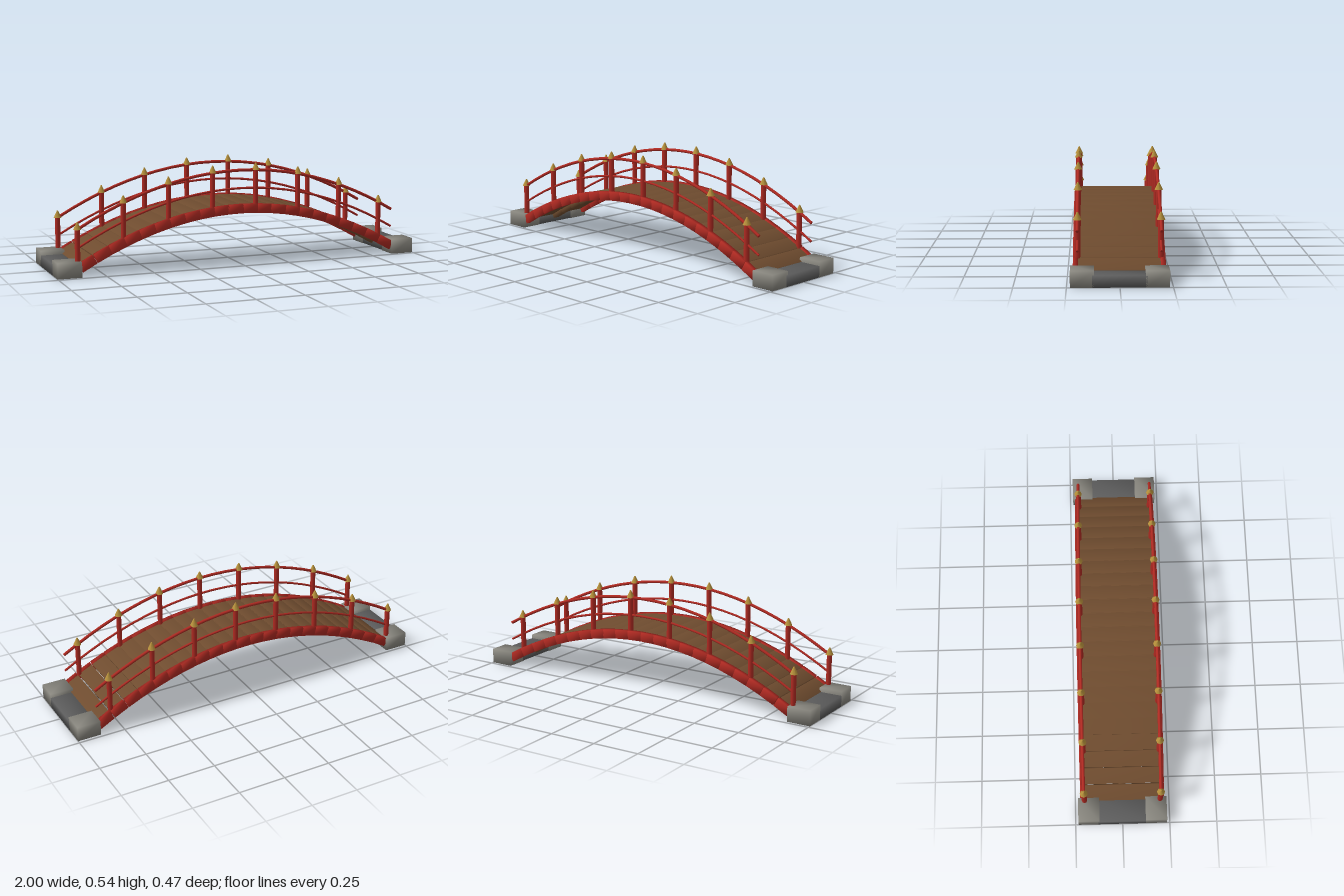
import * as THREE from 'three';
import { mergeVertices } from 'three/addons/utils/BufferGeometryUtils.js';

const HALF = 0.88; // half span of the arch
const archY = x => 0.298 - 0.255 * (x / HALF) ** 2;
const archAngle = x => Math.atan(-0.51 * x / HALF ** 2);

// Parabolic path of the arch, lifted by a given height
class ArchCurve extends THREE.Curve {
  constructor(lift) { super(); this.lift = lift; }
  getPoint(t, target = new THREE.Vector3()) {
    const x = (t * 2 - 1) * HALF;
    return target.set(x, archY(x) + this.lift, 0);
  }
}

// Box with shared corners, so its shading is soft
function softBox(w, h, d) {
  const g = new THREE.BoxGeometry(w, h, d);
  g.deleteAttribute('normal');
  g.deleteAttribute('uv');
  const merged = mergeVertices(g);
  merged.computeVertexNormals();
  return merged;
}

export function createModel() {
  const mat = (name, color) => new THREE.MeshStandardMaterial({ name, color });
  const red = mat('red lacquer', 0xb02a22);
  const wood = mat('brown wood', 0x6f4c2f);
  const gold = mat('gold', 0xb8923c);
  const stone = mat('light stone', 0x8a8880);
  const darkStone = mat('dark stone', 0x5c5c5c);

  const bridge = new THREE.Group();
  bridge.name = 'archedBridge';
  const add = (name, geometry, material, x, y, z, parent = bridge) => {
    const m = new THREE.Mesh(geometry, material);
    m.name = name;
    m.position.set(x, y, z);
    parent.add(m);
    return m;
  };

  // Deck planks, side beams and the middle beam, stepping along the arch
  const COUNT = 22, step = 2 * HALF / COUNT;
  const plank = softBox(step * 1.06, 0.02, 0.402);
  const sideBeam = softBox(step * 1.07, 0.048, 0.024);
  const midBeam = softBox(step * 1.08, 0.032, 0.036);
  for (let i = 0; i < COUNT; i++) {
    const x = -HALF + (i + 0.5) * step;
    const section = new THREE.Group();
    section.name = 'archSection';
    section.position.set(x, archY(x), 0);
    section.rotation.z = archAngle(x);
    add('deckPlank', plank, wood, 0, 0.009, 0, section);
    add('middleBeam', midBeam, wood, 0, -0.008, 0, section);
    for (const s of [-1, 1]) add('sideBeam', sideBeam, red, 0, 0, s * 0.21, section);
    bridge.add(section);
  }

  // Railings: posts with gold caps, and two curved rails
  const post = new THREE.CylinderGeometry(0.014, 0.014, 0.205, 8);
  const cap = new THREE.CylinderGeometry(0.003, 0.021, 0.038, 8);
  const topRail = new THREE.TubeGeometry(new ArchCurve(0.202), 22, 0.008, 8);
  const lowRail = new THREE.TubeGeometry(new ArchCurve(0.107), 22, 0.006, 8);
  const railEnd = r => new THREE.CylinderGeometry(r, r, 0.003, 8);
  for (const s of [-1, 1]) {
    const railing = new THREE.Group();
    railing.name = s > 0 ? 'frontRailing' : 'backRailing';
    railing.position.z = s * 0.2;
    for (let i = 0; i < 8; i++) {
      const x = -0.888 + i * 0.2415;
      add('post', post, red, x, archY(x) + 0.1025, 0, railing);
      add('postCap', cap, gold, x, archY(x) + 0.221, 0, railing);
    }
    for (const [name, geo, lift, r] of [['topRail', topRail, 0.202, 0.008], ['lowerRail', lowRail, 0.107, 0.006]]) {
      add(name, geo, red, 0, 0, 0, railing);
      for (const e of [-1, 1]) {
        const x = e * HALF;
        add('railEnd', railEnd(r), red, x, archY(x) + lift, 0, railing).rotation.z = archAngle(x) + Math.PI / 2;
      }
    }
    bridge.add(railing);
  }

  // Stone footings with a darker sill between them
  const block = softBox(0.126, 0.08, 0.112);
  const sill = softBox(0.12, 0.058, 0.26);
  for (const e of [-1, 1]) {
    add('sill', sill, darkStone, e * 0.94, 0.029, 0);
    for (const s of [-1, 1]) add('cornerStone', block, stone, e * 0.937, 0.04, s * 0.178);
  }
  return bridge;
}
